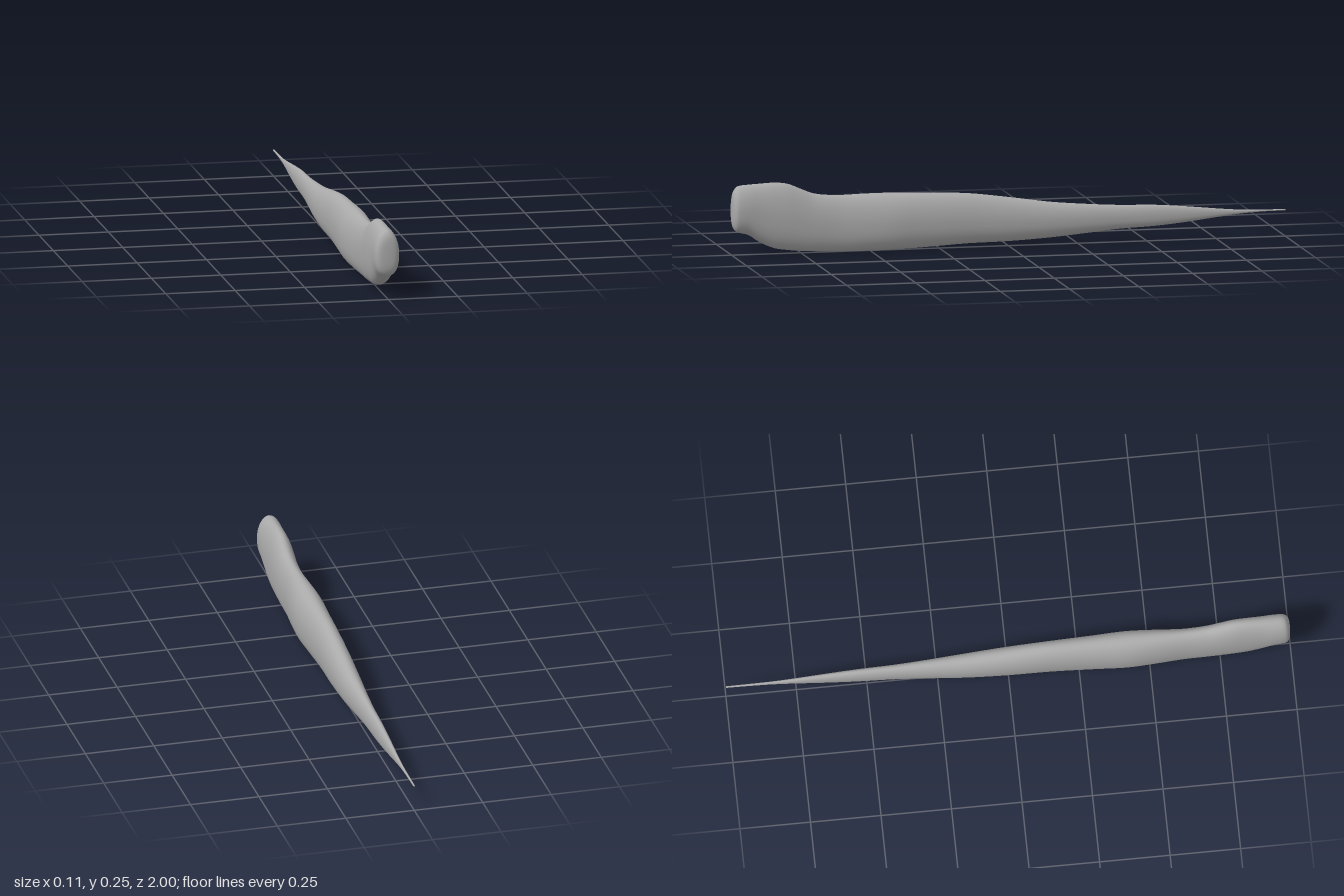
import * as THREE from 'three';

// Cross-sections from front to back: z, bottom, top, half width
const SECTIONS = [
  [1.0, 0.155, 0.165, 0.002],
  [0.998, 0.115, 0.212, 0.025],
  [0.99, 0.092, 0.236, 0.039],
  [0.975, 0.082, 0.249, 0.044],
  [0.94, 0.073, 0.253, 0.045],
  [0.9, 0.047, 0.255, 0.044],
  [0.85, 0.024, 0.257, 0.044],
  [0.8, 0.015, 0.252, 0.044],
  [0.75, 0.010, 0.232, 0.043],
  [0.7, 0.007, 0.213, 0.042],
  [0.62, 0.004, 0.205, 0.042],
  [0.52, 0.003, 0.207, 0.050],
  [0.42, 0.004, 0.207, 0.056],
  [0.3, 0.009, 0.203, 0.051],
  [0.15, 0.017, 0.196, 0.046],
  [0.0, 0.020, 0.177, 0.044],
  [-0.15, 0.028, 0.155, 0.038],
  [-0.28, 0.039, 0.143, 0.029],
  [-0.4, 0.050, 0.135, 0.022],
  [-0.53, 0.056, 0.131, 0.018],
  [-0.65, 0.067, 0.121, 0.013],
  [-0.8, 0.085, 0.106, 0.006],
  [-0.9, 0.093, 0.101, 0.004],
  [-1.0, 0.095, 0.100, 0.003],
];
const STEPS = 4;
const SIDES = 36;

// Smooth blend of all section values between neighbouring stations
function sectionAt(u) {
  const last = SECTIONS.length - 1;
  const i = Math.min(Math.floor(u), last - 1), t = u - i;
  const p = k => SECTIONS[Math.max(0, Math.min(last, k))];
  return SECTIONS[0].map((_, c) => {
    const [a, b, d, e] = [p(i - 1)[c], p(i)[c], p(i + 1)[c], p(i + 2)[c]];
    return b + 0.5 * t * (d - a + t * (2 * a - 5 * b + 4 * d - e + t * (3 * (b - d) + e - a)));
  });
}

function loftBody() {
  const positions = [], index = [];
  const rows = (SECTIONS.length - 1) * STEPS;
  const power = (v, n) => Math.sign(v) * Math.abs(v) ** (2 / n);
  for (let r = 0; r <= rows; r++) {
    const [z, bottom, top, width] = sectionAt(r / STEPS);
    const middle = bottom + (top - bottom) * 0.48;
    for (let s = 0; s < SIDES; s++) {
      // Oval above, fuller curve below
      const a = (s / SIDES) * Math.PI * 2;
      const sin = Math.sin(a), n = sin < 0 ? 2.4 : 2;
      const height = sin < 0 ? middle - bottom : top - middle;
      positions.push(width * power(Math.cos(a), n), middle + height * power(sin, n), z);
      if (r < rows) {
        const i = r * SIDES + s, j = r * SIDES + (s + 1) % SIDES;
        index.push(i, i + SIDES, j, j, i + SIDES, j + SIDES);
      }
    }
  }
  // Close the blunt front and the thin tip
  const end = rows * SIDES;
  for (let s = 1; s < SIDES - 1; s++) {
    index.push(0, s, s + 1, end, end + s + 1, end + s);
  }
  const geometry = new THREE.BufferGeometry();
  geometry.setAttribute('position', new THREE.Float32BufferAttribute(positions, 3));
  geometry.setIndex(index);
  geometry.computeVertexNormals();
  return geometry;
}

export function createModel() {
  const grey = new THREE.MeshStandardMaterial({ color: 0xaaaaaa });
  grey.name = 'grey';
  const body = new THREE.Mesh(loftBody(), grey);
  body.name = 'body';
  const model = new THREE.Group();
  model.name = 'taperedBody';
  model.add(body);
  return model;
}
